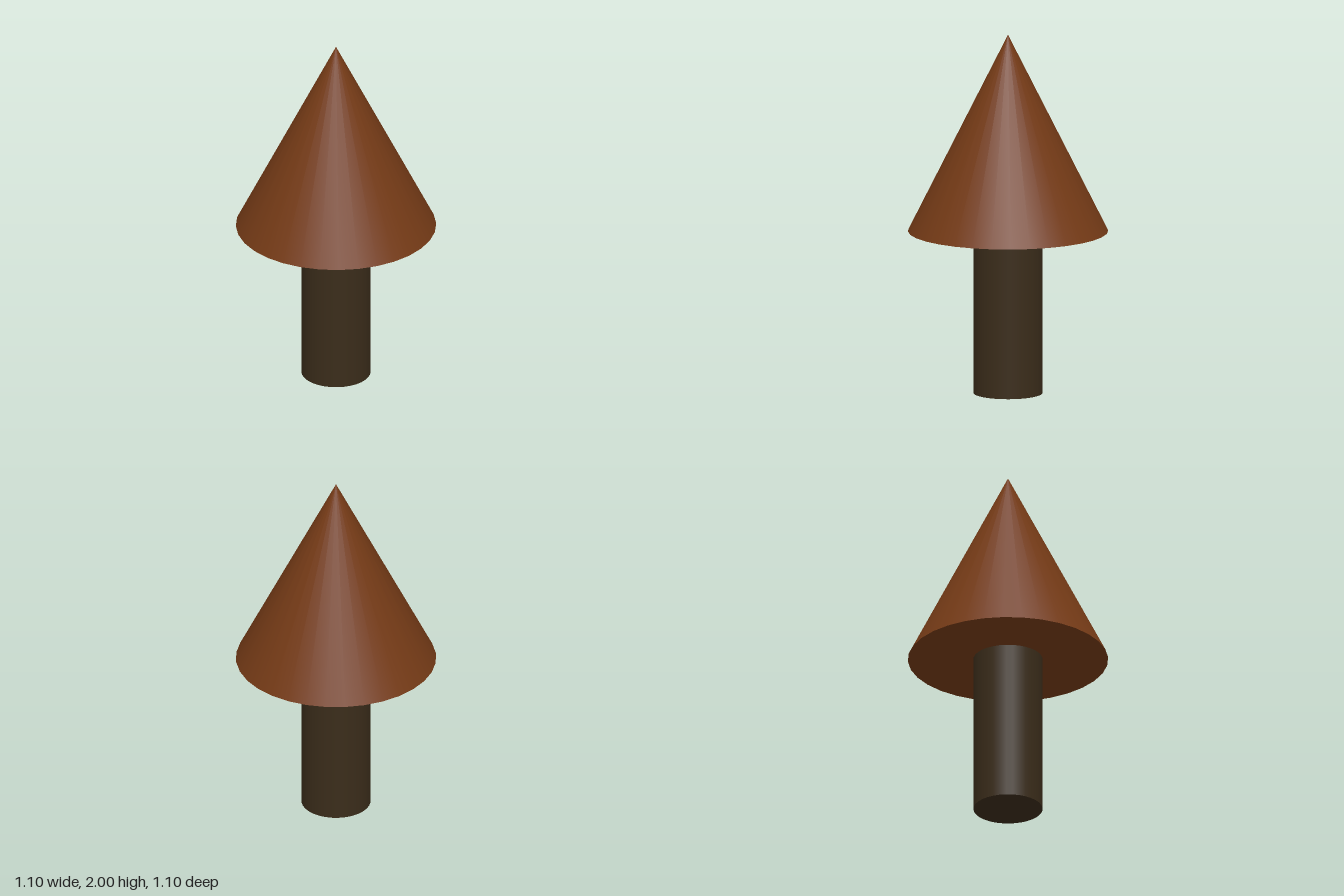
import * as THREE from 'three';

const SIDES = 32;

export function createModel() {
  const model = new THREE.Group();
  model.name = 'coneTree';

  const addPart = (name, geometry, color, bottom) => {
    const mesh = new THREE.Mesh(geometry, new THREE.MeshStandardMaterial({ color }));
    mesh.name = name;
    mesh.position.y = bottom + geometry.parameters.height / 2;
    model.add(mesh);
  };

  // Straight round trunk standing on the ground
  addPart('trunk', new THREE.CylinderGeometry(0.19, 0.19, 0.905, SIDES), 0x3a2c1a, 0);

  // Pointed crown with a closed underside
  addPart('crown', new THREE.ConeGeometry(0.55, 1.095, SIDES), 0x743a16, 0.905);

  return model;
}
